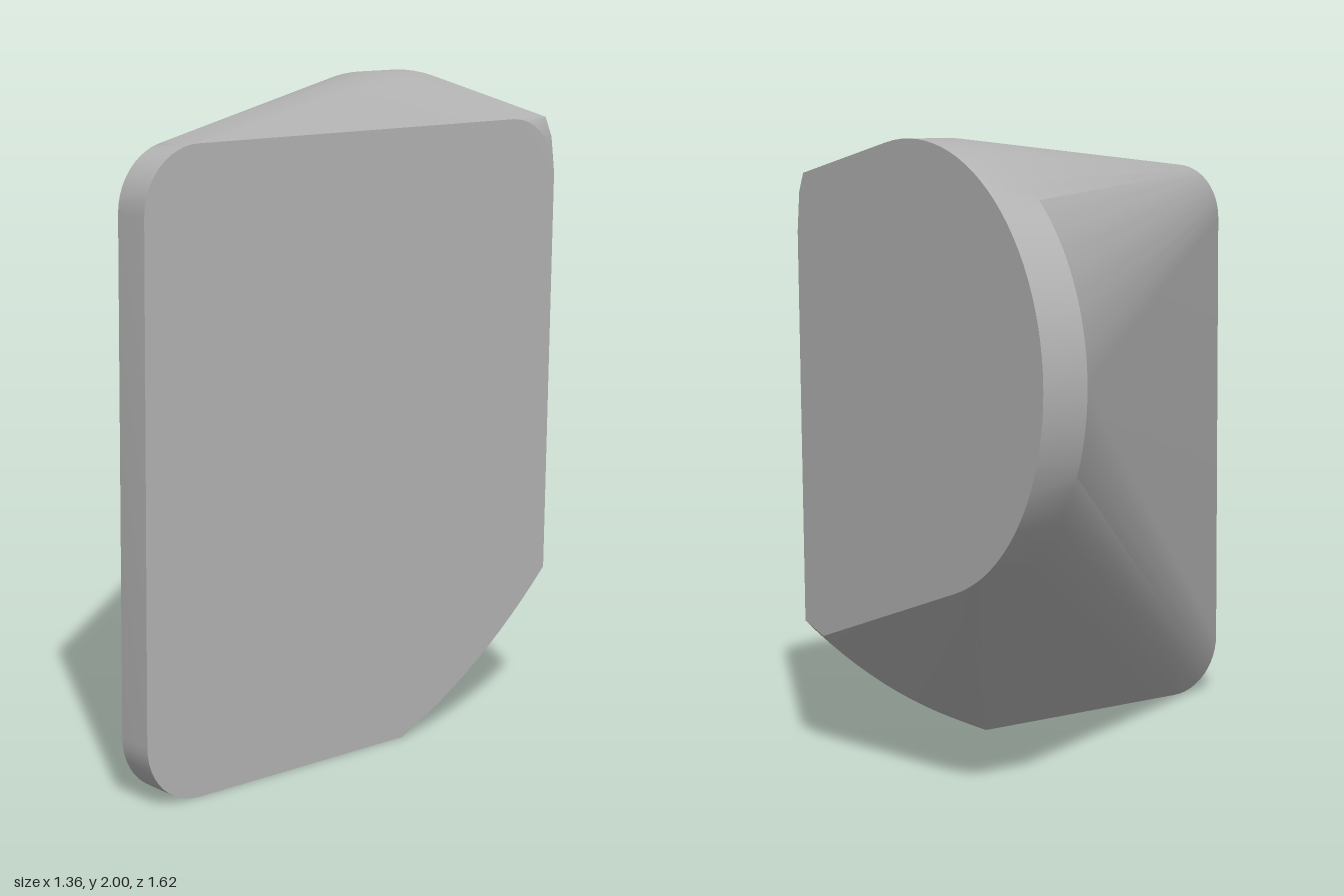
import * as THREE from 'three';
import { ConvexGeometry } from 'three/addons/geometries/ConvexGeometry.js';
import { toCreasedNormals } from 'three/addons/utils/BufferGeometryUtils.js';

const V = (x, y, z) => new THREE.Vector3(x, y, z);

export function createModel() {
  const gray = new THREE.MeshStandardMaterial({ color: 0xb3b3b3 });
  gray.name = 'plain gray';
  const points = [];

  // Side plate: rounded outline in z and y, with a curved cut at the lower back
  const outline = [];
  const corner = (cz, cy, r, start) => {
    for (let i = 0; i <= 12; i++) {
      const a = start + (i / 12) * Math.PI / 2;
      outline.push([cz + r * Math.cos(a), cy + r * Math.sin(a)]);
    }
  };
  corner(0.62, 0.19, 0.19, -Math.PI / 2);
  corner(0.62, 1.7, 0.19, 0);
  corner(-0.62, 1.7, 0.19, Math.PI / 2);
  const cut = new THREE.QuadraticBezierCurve(
    new THREE.Vector2(-0.19, 0), new THREE.Vector2(-0.53, 0.15), new THREE.Vector2(-0.81, 0.44));
  cut.getPoints(12).forEach((p) => outline.push([p.x, p.y]));
  for (const [z, y] of outline) points.push(V(0.56, y, z), V(0.677, y, z));

  // Round plate at the back
  for (const z of [-0.81, -0.66]) {
    for (let i = 0; i < 96; i++) {
      const a = (i / 96) * Math.PI * 2;
      // only the half away from the side plate is exposed
      if (Math.cos(a) < 0.5) points.push(V(0.68 * Math.cos(a), 1.32 + 0.68 * Math.sin(a), z));
    }
  }

  // Small bevels where the back meets the side plate
  points.push(V(0.635, 1.885, -0.81), V(0.662, 1.825, -0.81), V(0.56, 0.41, -0.81));

  // Body stretched tightly between both plates
  const body = new THREE.Mesh(toCreasedNormals(new ConvexGeometry(points), Math.PI / 7), gray);
  body.name = 'bracketBody';
  const group = new THREE.Group();
  group.name = 'cornerBracket';
  group.add(body);
  return group;
}
